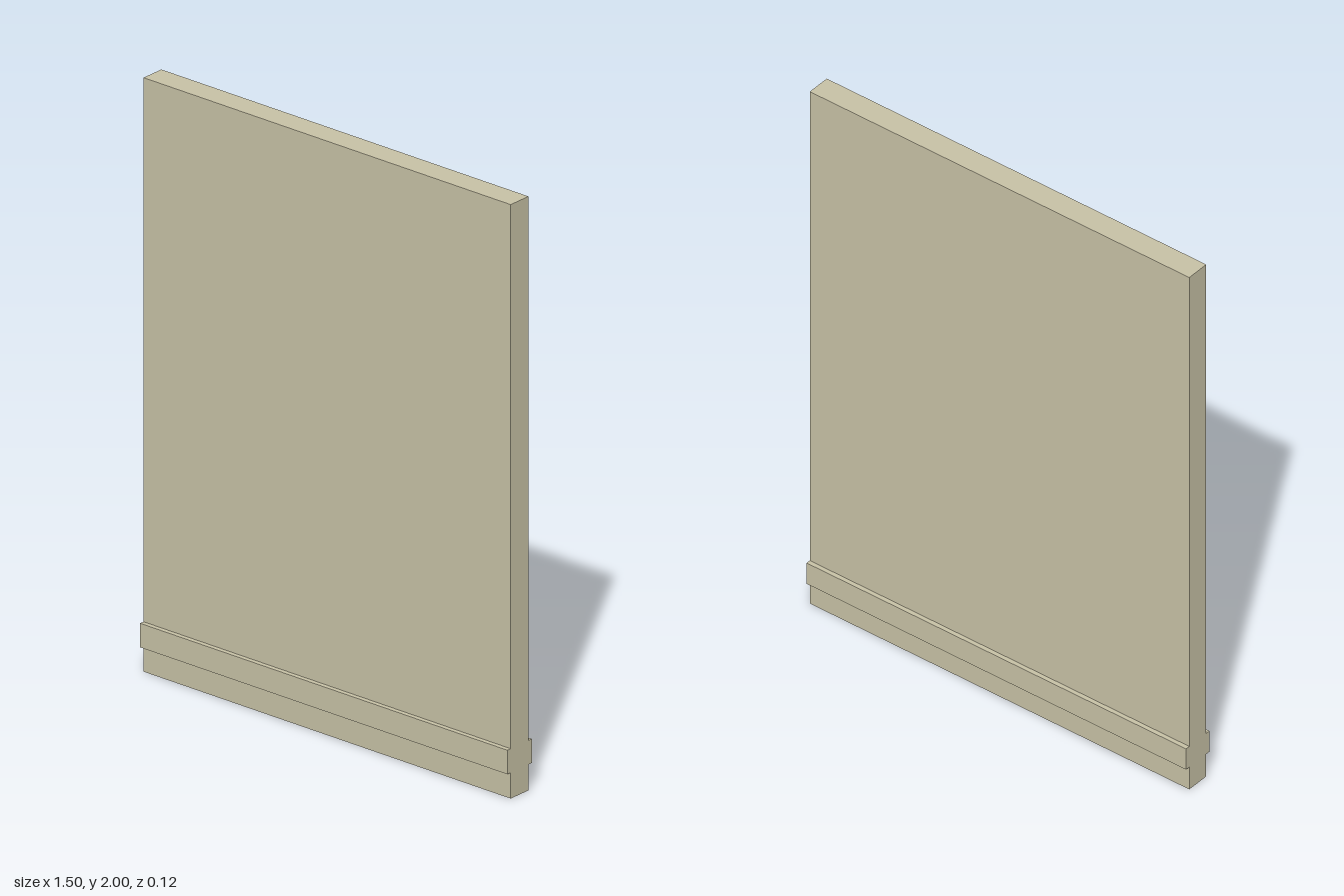
import * as THREE from 'three';

export function createModel() {
  const group = new THREE.Group();
  group.name = 'wallSection';
  const plaster = new THREE.MeshStandardMaterial({ color: 0xc9c3a7 });
  plaster.name = 'beige plaster';

  const width = 1.5, height = 2;
  const half = 0.042, railHalf = 0.058;      // half depths of wall and rail
  const railBottom = 0.087, railTop = 0.168;

  // Front half of the cross-section (depth, height), mirrored for the back
  const side = [
    [half, 0], [half, railBottom], [railHalf, railBottom],
    [railHalf, railTop], [half, railTop], [half, height],
  ];
  const outline = [...side, ...side.map(([z, y]) => [-z, y]).reverse()];
  const profile = new THREE.Shape(outline.map(([z, y]) => new THREE.Vector2(z, y)));

  // Wall panel with a rail along both faces, swept across the width
  const geometry = new THREE.ExtrudeGeometry(profile, { depth: width, bevelEnabled: false });
  geometry.translate(0, 0, -width / 2);
  geometry.rotateY(Math.PI / 2);

  const wall = new THREE.Mesh(geometry, plaster);
  wall.name = 'wallPanelWithRails';
  group.add(wall);
  return group;
}
